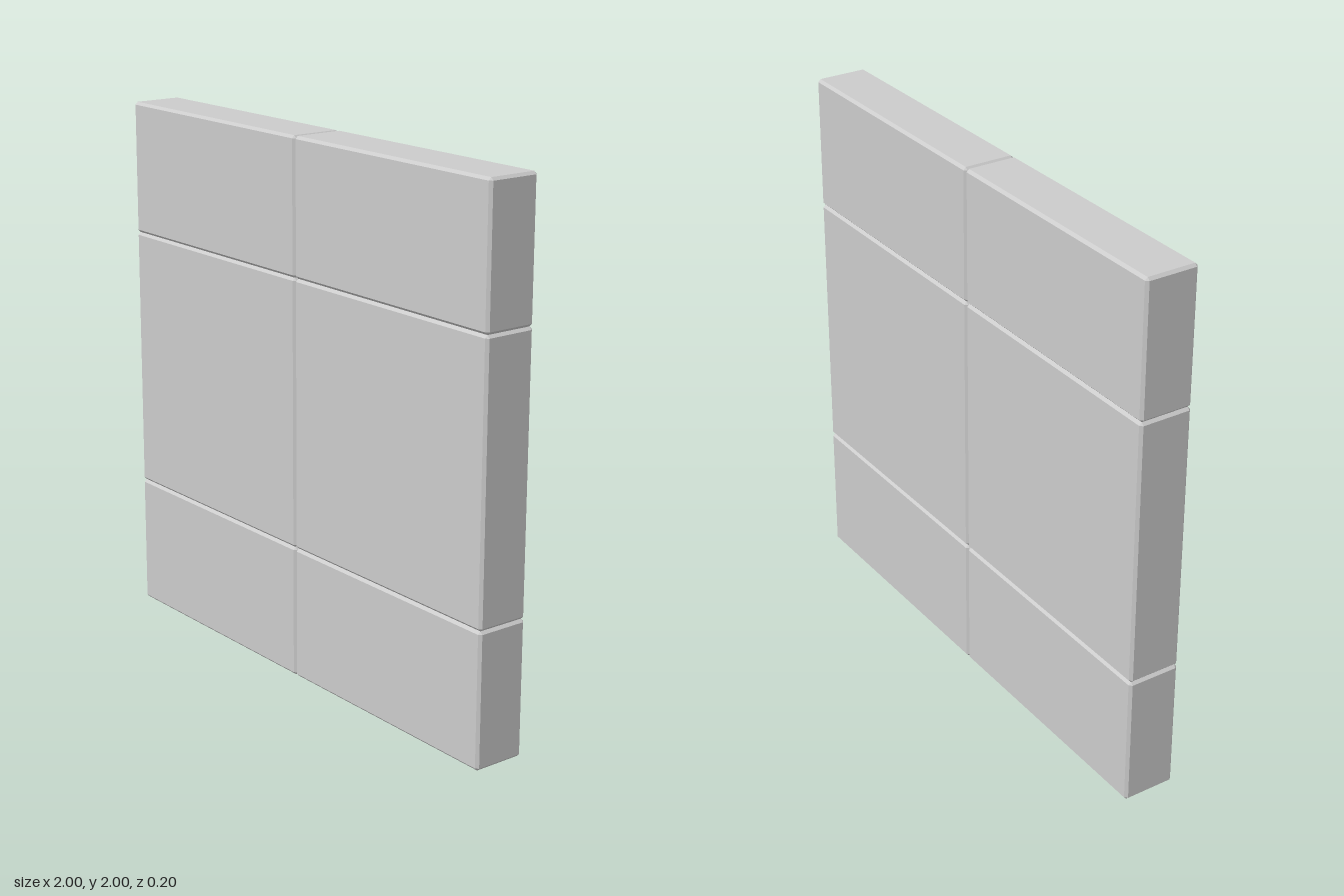
import * as THREE from 'three';
import { ConvexGeometry } from 'three/addons/geometries/ConvexGeometry.js';

const BEVEL = 0.01;

// Box with every edge and corner cut flat: three points per corner
function chamferedBox(w, h, d, b) {
  const points = [];
  for (const sx of [-1, 1]) for (const sy of [-1, 1]) for (const sz of [-1, 1]) {
    const x = w / 2, y = h / 2, z = d / 2;
    points.push(
      new THREE.Vector3(sx * x, sy * (y - b), sz * (z - b)),
      new THREE.Vector3(sx * (x - b), sy * y, sz * (z - b)),
      new THREE.Vector3(sx * (x - b), sy * (y - b), sz * z)
    );
  }
  return new ConvexGeometry(points);
}

export function createModel() {
  const model = new THREE.Group();
  model.name = 'blockWall';
  const material = new THREE.MeshStandardMaterial({ color: 0xcccccc, flatShading: true });

  // Courses from the ground up, each a pair of blocks
  const courses = [
    { name: 'bottom', y: 0, height: 0.5 },
    { name: 'middle', y: 0.5, height: 1 },
    { name: 'top', y: 1.5, height: 0.5 },
  ];
  for (const { name, y, height } of courses) {
    const geometry = chamferedBox(1, height, 0.2, BEVEL);
    for (const side of [-1, 1]) {
      const block = new THREE.Mesh(geometry, material);
      block.name = name + (side > 0 ? 'LeftBlock' : 'RightBlock');
      block.position.set(side * 0.5, y + height / 2, 0);
      model.add(block);
    }
  }
  return model;
}
